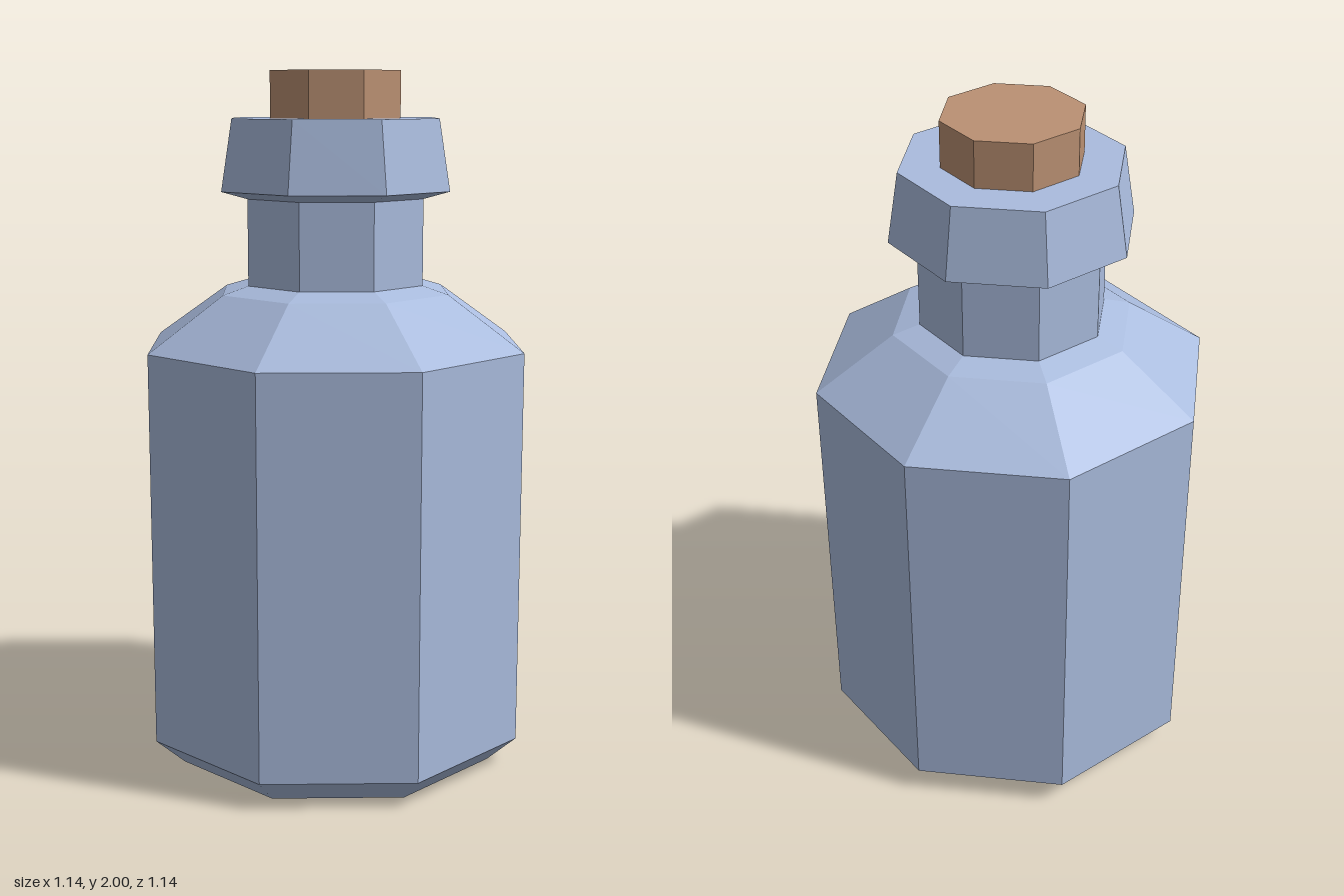
import * as THREE from 'three';

const SIDES = 8;

// Faceted solid of revolution; corners lie on the x and z axes
function facetedLathe(name, profile, material) {
  const points = profile.map(([r, y]) => new THREE.Vector2(r, y));
  const geometry = new THREE.LatheGeometry(points, SIDES).toNonIndexed();
  geometry.computeVertexNormals(); // flat facets
  const mesh = new THREE.Mesh(geometry, material);
  mesh.name = name;
  return mesh;
}

export function createModel() {
  const glass = new THREE.MeshStandardMaterial({ color: 0xaabcde });
  glass.name = 'blue glass';
  const cork = new THREE.MeshStandardMaterial({ color: 0xbb9173 });
  cork.name = 'cork';

  const model = new THREE.Group();
  model.name = 'corkedBottle';

  // Bottle: bevelled base, straight body, sloping shoulder, neck and flared lip
  model.add(facetedLathe('bottle', [
    [0, 0], [0.483, 0], [0.57, 0.078],
    [0.57, 1.222], [0.345, 1.377], [0.268, 1.4],
    [0.268, 1.645], [0.346, 1.667],
    [0.313, 1.868], [0, 1.868],
  ], glass));

  // Stopper standing out of the lip
  model.add(facetedLathe('stopper', [
    [0, 1.86], [0.198, 1.86], [0.198, 2], [0, 2],
  ], cork));

  return model;
}
